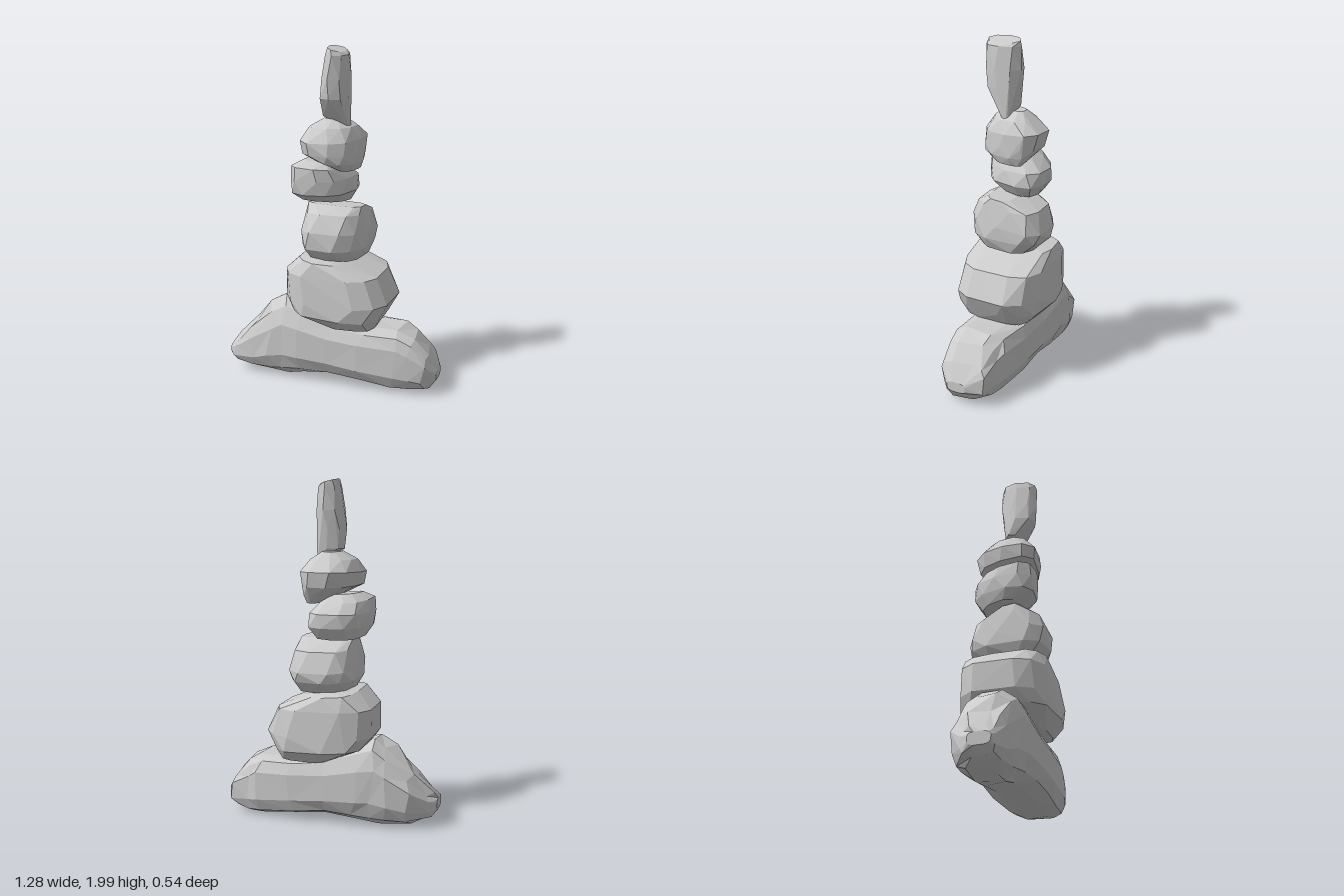
import * as THREE from 'three';
import { ConvexGeometry } from 'three/addons/geometries/ConvexGeometry.js';

const material = new THREE.MeshStandardMaterial({ color: 0xcccccc, flatShading: true });

function seeded(seed) {
  let s = seed;
  return () => (s = (s * 16807) % 2147483647) / 2147483647;
}

// Point on a rounded box outline: a0..a1 by b0..b1 at the given angle
function outline(angle, a0, a1, b0, b1, power, scale) {
  const c = Math.cos(angle), s = Math.sin(angle);
  const round = (v) => Math.sign(v) * Math.abs(v) ** power * scale;
  return [(a0 + a1) / 2 + round(c) * (a1 - a0) / 2, (b0 + b1) / 2 + round(s) * (b1 - b0) / 2];
}

// Chipped boulder: hull of uneven rings [y, x0, x1, z0, z1, slopeX, slopeZ],
// with skew moving its back towards +x
function stone(name, seed, sides, power, skew, rings) {
  const rand = seeded(seed);
  const points = [];
  for (const [y, x0, x1, z0, z1, sx = 0, sz = 0] of rings) {
    const turn = (rand() - 0.5) * 0.5;
    for (let i = 0; i < sides; i++) {
      const angle = (i / sides) * Math.PI * 2 + turn;
      const [x, z] = outline(angle, x0, x1, z0, z1, power, 1.04 - rand() * 0.07);
      points.push(new THREE.Vector3(x - skew * z, y + sx * x + sz * z, z));
    }
  }
  const mesh = new THREE.Mesh(new ConvexGeometry(points), material);
  mesh.name = name;
  return mesh;
}

// Long saddle-shaped rock lofted along x from sections
// [x, y0, y1, z0, z1, roundness of the upper half]
function baseRock(sections) {
  const rand = seeded(77);
  const sides = 12;
  const rings = sections.map(([x, y0, y1, z0, z1, upper], k) =>
    Array.from({ length: sides }, (_, i) => {
      const angle = ((i + 0.5) / sides) * Math.PI * 2;
      const power = i < sides / 2 ? upper : 0.65;
      const [z, y] = outline(angle, z0, z1, y0, y1, power, 1.035 - rand() * 0.05);
      const shift = k > 0 && k < sections.length - 1 ? (rand() - 0.5) * 0.05 : 0;
      return [x + shift, Math.max(0, y), z];
    }));
  const pos = [];
  const tri = (...corners) => corners.forEach((p) => pos.push(...p));
  for (let k = 0; k < rings.length - 1; k++) {
    for (let i = 0; i < sides; i++) {
      const j = (i + 1) % sides;
      const a = rings[k][i], b = rings[k + 1][i], c = rings[k + 1][j], d = rings[k][j];
      if (rand() < 0.5) { tri(a, b, c); tri(a, c, d); }
      else { tri(a, b, d); tri(b, c, d); }
    }
  }
  // End caps
  const first = rings[0], last = rings[rings.length - 1];
  for (let i = 1; i < sides - 1; i++) {
    tri(first[0], first[i], first[i + 1]);
    tri(last[0], last[i + 1], last[i]);
  }
  const geometry = new THREE.BufferGeometry();
  geometry.setAttribute('position', new THREE.Float32BufferAttribute(pos, 3));
  geometry.computeVertexNormals();
  const mesh = new THREE.Mesh(geometry, material);
  mesh.name = 'baseStone';
  return mesh;
}

export function createModel() {
  const group = new THREE.Group();
  group.name = 'stackedStones';

  group.add(baseRock([
    [-0.643, 0.09, 0.16, -0.01, 0.12, 0.6],
    [-0.61, 0.05, 0.2, -0.06, 0.135, 0.65],
    [-0.49, 0.02, 0.32, -0.155, 0.155, 0.75],
    [-0.37, 0.005, 0.465, -0.185, 0.175, 0.8],
    [-0.29, 0.005, 0.52, -0.19, 0.18, 0.8],
    [-0.18, 0.025, 0.48, -0.195, 0.19, 0.75],
    [0.0, 0.04, 0.405, -0.2, 0.195, 0.65],
    [0.2, 0.025, 0.375, -0.2, 0.195, 0.55],
    [0.4, 0, 0.37, -0.175, 0.18, 0.55],
    [0.49, 0, 0.33, -0.155, 0.17, 0.55],
    [0.58, 0.02, 0.24, -0.135, 0.15, 0.55],
    [0.638, 0.08, 0.14, -0.04, 0.08, 0.6],
  ]));

  // Broad stone, highest at its right and bulging low on its left
  group.add(stone('broadStone', 11, 12, 0.58, 0, [
    [0.375, -0.03, 0.27, -0.2, 0.2],
    [0.45, -0.23, 0.31, -0.265, 0.265, -0.04],
    [0.53, -0.275, 0.355, -0.265, 0.265],
    [0.69, -0.285, 0.295, -0.26, 0.25, -0.02],
    [0.77, -0.18, 0.1, -0.24, 0.235, -0.08],
    [0.795, -0.08, 0.03, -0.12, 0.12],
  ]));

  // Blocky stone, sloping down to the back
  group.add(stone('blockStone', 23, 10, 0.62, 0.08, [
    [0.78, -0.12, 0.17, -0.16, 0.17],
    [0.85, -0.16, 0.2, -0.235, 0.23],
    [0.93, -0.16, 0.2, -0.245, 0.23, 0, 0.1],
    [1.04, -0.15, 0.19, -0.2, 0.19, 0, 0.08],
    [1.09, -0.14, 0.18, -0.05, 0.11, -0.03, 0.06],
  ]));

  // Rounded stone, shifted to the right
  group.add(stone('roundStone', 35, 10, 0.75, 0.2, [
    [1.1, -0.2, 0.06, -0.14, 0.1, 0, 0.08],
    [1.16, -0.225, 0.095, -0.19, 0.19],
    [1.24, -0.235, 0.085, -0.195, 0.195],
    [1.3, -0.22, 0.05, -0.13, 0.19, -0.05, 0.06],
    [1.34, -0.16, 0.01, -0.07, 0.12, -0.06],
  ]));

  // Tilted stone with a heavy heel low on its left
  group.add(stone('tiltedStone', 52, 10, 0.8, 0.2, [
    [1.29, 0.04, 0.12, -0.1, 0.08],
    [1.35, -0.07, 0.14, -0.15, 0.18, -0.1],
    [1.39, -0.15, 0.14, -0.185, 0.195],
    [1.47, -0.175, 0.14, -0.2, 0.195, 0, -0.04],
    [1.54, -0.135, 0.11, -0.12, 0.13],
    [1.585, -0.06, 0.04, -0.07, 0.06],
  ]));

  // Upright splinter, narrow at the foot and broad in z above
  group.add(stone('uprightStone', 64, 8, 0.9, 0, [
    [1.53, 0.065, 0.09, 0.0, 0.03],
    [1.6, -0.075, 0.09, -0.025, 0.07],
    [1.71, -0.075, 0.092, -0.045, 0.165],
    [1.82, -0.06, 0.095, -0.058, 0.17],
    [1.95, -0.04, 0.09, -0.055, 0.165],
    [1.987, -0.025, 0.07, -0.05, 0.155, -0.3],
  ]));

  return group;
}
